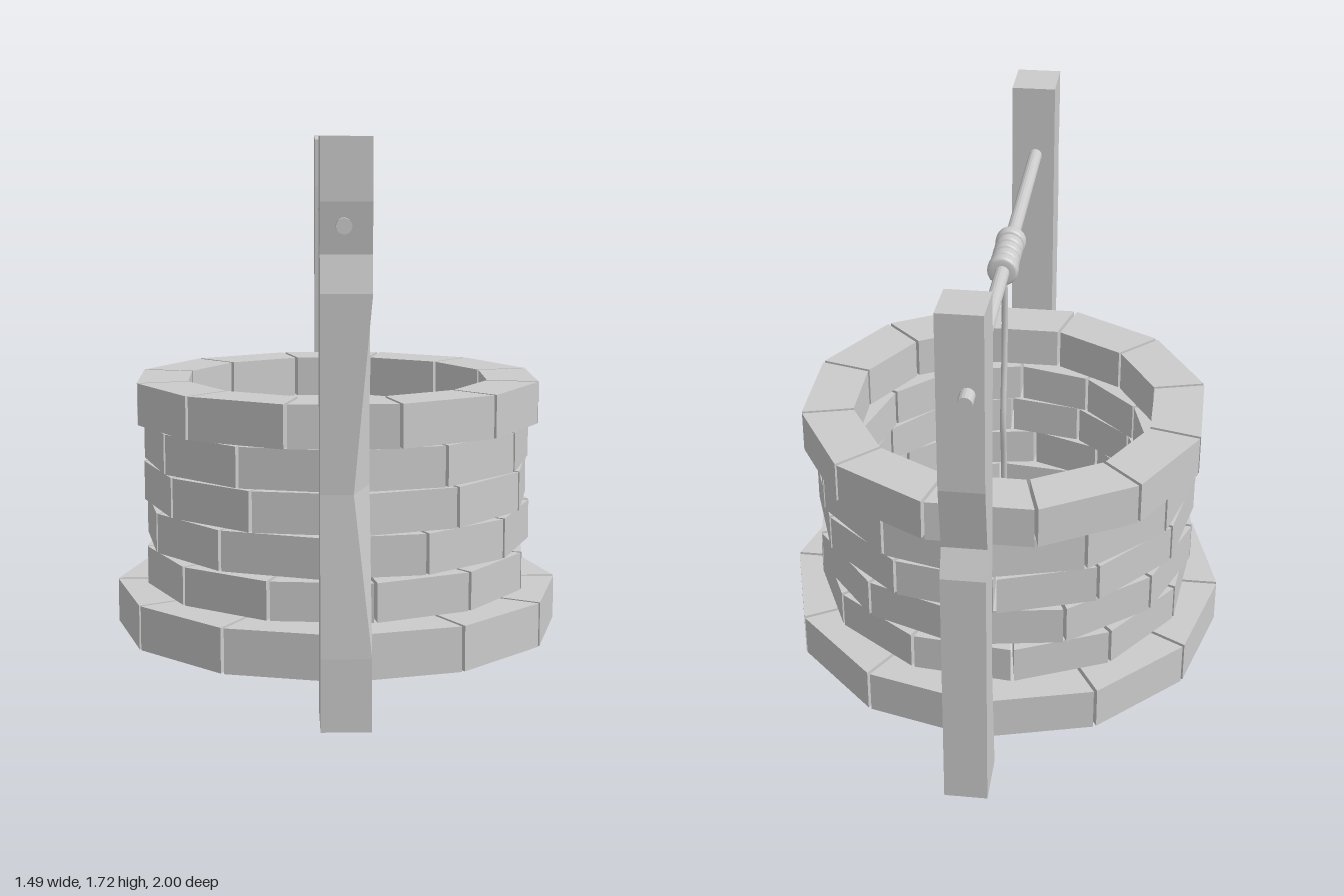
import * as THREE from 'three';

const material = new THREE.MeshStandardMaterial({ color: 0xcccccc, flatShading: true });
const smooth = new THREE.MeshStandardMaterial({ color: 0xcccccc });

function addMesh(parent, name, geometry, mat = material) {
  const mesh = new THREE.Mesh(geometry, mat);
  mesh.name = name;
  parent.add(mesh);
  return mesh;
}

function shapeOf(points) {
  return new THREE.Shape(points.map(([x, y]) => new THREE.Vector2(x, y)));
}

// One wedge-shaped stone facing +z, narrowed a little to leave open joints
function stoneGeometry(inner, outer, y0, y1) {
  const half = Math.PI / 12, gap = 0.006;
  const wIn = inner * Math.sin(half) - gap, wOut = outer * Math.sin(half) - gap;
  const rIn = inner * Math.cos(half), rOut = outer * Math.cos(half);
  const shape = shapeOf([[-wIn, rIn], [wIn, rIn], [wOut, rOut], [-wOut, rOut]]);
  const geometry = new THREE.ExtrudeGeometry(shape, { depth: y1 - y0, bevelEnabled: false });
  return geometry.rotateX(Math.PI / 2).translate(0, y1, 0);
}

// Box-like post made of four-cornered cross-sections stacked upwards
function loftGeometry(levels) {
  const positions = [];
  const tri = (...corners) => corners.forEach((c) => positions.push(...c));
  const quad = (a, b, c, d) => { tri(a, b, c); tri(a, c, d); };
  for (let i = 0; i < levels.length - 1; i++) {
    const lo = levels[i], hi = levels[i + 1];
    for (let k = 0; k < 4; k++) {
      const n = (k + 1) % 4;
      quad(lo[k], lo[n], hi[n], hi[k]);
    }
  }
  const top = levels[levels.length - 1], base = levels[0];
  quad(top[0], top[1], top[2], top[3]);
  quad(base[3], base[2], base[1], base[0]);
  const geometry = new THREE.BufferGeometry();
  geometry.setAttribute('position', new THREE.Float32BufferAttribute(positions, 3));
  geometry.computeVertexNormals();
  return geometry;
}

export function createModel() {
  const model = new THREE.Group();
  model.name = 'well';

  // Stone wall: inner radius, outer radius, bottom, top, joint angle in degrees
  const wall = new THREE.Group();
  wall.name = 'stoneWall';
  wall.position.z = -0.005;
  model.add(wall);
  const courses = [
    [0.495, 0.745, 0.08, 0.225, 0],
    [0.485, 0.645, 0.235, 0.36, 9],
    [0.485, 0.65, 0.375, 0.505, 24],
    [0.485, 0.65, 0.51, 0.64, 4],
    [0.485, 0.65, 0.645, 0.775, 0],
    [0.51, 0.682, 0.782, 0.92, 15],
  ];
  courses.forEach(([inner, outer, y0, y1, angle], row) => {
    const course = new THREE.Group();
    course.name = `stoneCourse${row + 1}`;
    wall.add(course);
    const geometry = stoneGeometry(inner, outer, y0, y1);
    for (let i = 0; i < 12; i++) {
      const stone = addMesh(course, 'stone', geometry);
      stone.rotation.y = THREE.MathUtils.degToRad(angle + 15 + i * 30);
    }
  });

  // Front post: height, front face z, x of the worn front edge
  const left = -0.077, right = 0.073, back = 0.78;
  const frontLevels = [
    [0, 0.967, right], [0.22, 0.967, right], [0.7, 0.945, 0.02], [1.28, 0.967, right],
    [1.39, 0.943, right], [1.54, 0.967, right], [1.72, 0.967, right],
  ].map(([y, z, edge]) => [[left, y, z], [edge, y, z], [right, y, back], [left, y, back]]);
  addMesh(model, 'frontPost', loftGeometry(frontLevels));

  // Back post: side outline as (z, y), extruded across x
  const outline = shapeOf([
    [-0.944, 0], [-0.767, 0], [-0.82, 0.45], [-0.788, 1.04], [-0.767, 1.53], [-0.767, 1.705],
    [-0.944, 1.72], [-0.944, 1.15], [-0.906, 0.93], [-0.944, 0.84],
  ]);
  const backPost = new THREE.ExtrudeGeometry(outline, { depth: 0.138, bevelEnabled: false });
  backPost.rotateY(-Math.PI / 2).translate(0.08, 0, 0);
  addMesh(model, 'backPost', backPost);

  // Axle through both posts
  const axleX = -0.01, axleY = 1.472;
  const axle = addMesh(model, 'axle', new THREE.CylinderGeometry(0.023, 0.023, 2, 16), material);
  axle.rotation.x = Math.PI / 2;
  axle.position.set(axleX, axleY, 0);

  // Rope wound round the axle
  const coils = new THREE.Group();
  coils.name = 'ropeCoils';
  model.add(coils);
  for (let i = 0; i < 5; i++) {
    const r = i === 0 || i === 4 ? 0.049 : 0.046, h = 0.024;
    const profile = [[0.02, -h], [r - 0.009, -h], [r - 0.002, -h + 0.005], [r, -h + 0.012],
      [r, h - 0.012], [r - 0.002, h - 0.005], [r - 0.009, h], [0.02, h]];
    const coil = addMesh(coils, 'coil',
      new THREE.LatheGeometry(profile.map(([x, y]) => new THREE.Vector2(x, y)), 20), smooth);
    coil.rotation.x = Math.PI / 2;
    coil.position.set(axleX, axleY, 0.05 - i * 0.0505);
  }

  // Hanging rope
  const path = new THREE.CatmullRomCurve3([
    [1.45, -0.115], [1.25, -0.106], [1.1, -0.122], [0.92, -0.152],
    [0.75, -0.13], [0.55, -0.118], [0.3, -0.112], [0.1, -0.112],
  ].map(([y, z]) => new THREE.Vector3(axleX, y, z)));
  addMesh(model, 'rope', new THREE.TubeGeometry(path, 28, 0.01, 8), smooth);
  const ropeEnd = addMesh(model, 'ropeEnd', new THREE.CircleGeometry(0.01, 8));
  ropeEnd.rotation.x = Math.PI / 2;
  ropeEnd.position.set(axleX, 0.1, -0.112);

  return model;
}
